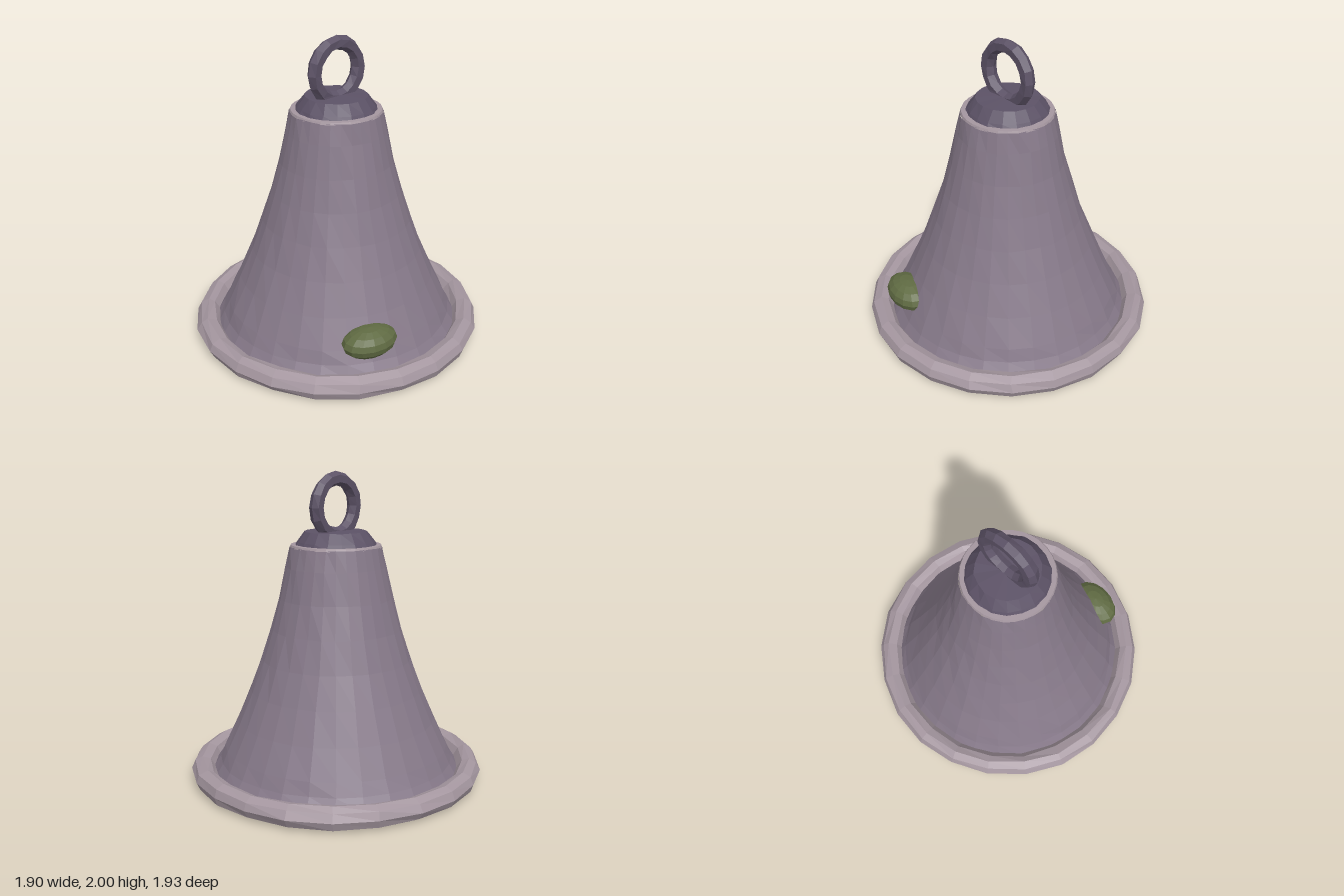
import * as THREE from 'three';

const mat = (name, color) => {
  const m = new THREE.MeshStandardMaterial({ color, flatShading: true });
  m.name = name;
  return m;
};

// Small repeatable unevenness based on vertex position, so seams stay closed
function roughen(geo, amount) {
  const p = geo.attributes.position;
  const hash = (x, y, z, k) => {
    const s = Math.sin(Math.round(x * 500) * 12.99 + Math.round(y * 500) * 78.23 + Math.round(z * 500) * 37.72 + k) * 4375.85;
    return (s - Math.floor(s) - 0.5) * 2 * amount;
  };
  for (let i = 0; i < p.count; i++) {
    const x = p.getX(i), y = p.getY(i), z = p.getZ(i);
    // keep the base flat
    p.setXYZ(i, x + hash(x, y, z, 1), y < 0.01 ? y : y + hash(x, y, z, 2) * 0.5, z + hash(x, y, z, 3));
  }
  geo.computeVertexNormals();
  return geo;
}

const lathe = (profile, sides) =>
  new THREE.LatheGeometry(profile.map(([r, y]) => new THREE.Vector2(r, y)), sides);

export function createModel() {
  const group = new THREE.Group();
  group.name = 'bell';
  const bodyMat = mat('mauve body', 0x867989);
  const rimMat = mat('pale rim', 0xa4969f);
  const ringMat = mat('dark purple', 0x5c5266);
  const greenMat = mat('moss green', 0x5f6a42);

  const add = (name, geo, material) => {
    const mesh = new THREE.Mesh(geo, material);
    mesh.name = name;
    group.add(mesh);
    return mesh;
  };

  // Flared bell body, closed underneath by a floor recessed inside the rim
  add('body', roughen(lathe([
    [0, 0.068], [0.815, 0.068], [0.77, 0.14], [0.735, 0.22], [0.65, 0.4], [0.565, 0.6],
    [0.49, 0.8], [0.425, 1.0], [0.37, 1.2], [0.325, 1.4], [0.297, 1.53],
  ], 30), 0.004), bodyMat);

  // Pale ledge around the top of the body
  add('topLedge', lathe([[0.297, 1.525], [0.29, 1.541], [0.22, 1.543]], 30), rimMat);

  // Thick rounded rim, a closed ring around the foot of the body
  add('rim', roughen(lathe([
    [0.805, 0.068], [0.845, 0.022], [0.895, 0], [0.94, 0.02], [0.963, 0.07], [0.94, 0.12],
    [0.89, 0.145], [0.84, 0.125], [0.805, 0.068],
  ], 22), 0.006), rimMat);

  // Collar under the hanging ring
  add('collar', roughen(lathe([
    [0.268, 1.53], [0.25, 1.56], [0.2, 1.625], [0, 1.63],
  ], 18), 0.004), ringMat);

  // Hanging ring
  const ring = add('hangingRing', roughen(new THREE.TorusGeometry(0.176, 0.046, 6, 16), 0.003), ringMat);
  ring.position.y = 1.78;

  // Green lump on the lower front
  const lump = add('lump', new THREE.SphereGeometry(1, 14, 8), greenMat);
  lump.scale.set(0.187, 0.096, 0.13);
  lump.rotation.y = -0.17;
  lump.position.set(-0.293, 0.265, 0.645);

  return group;
}
